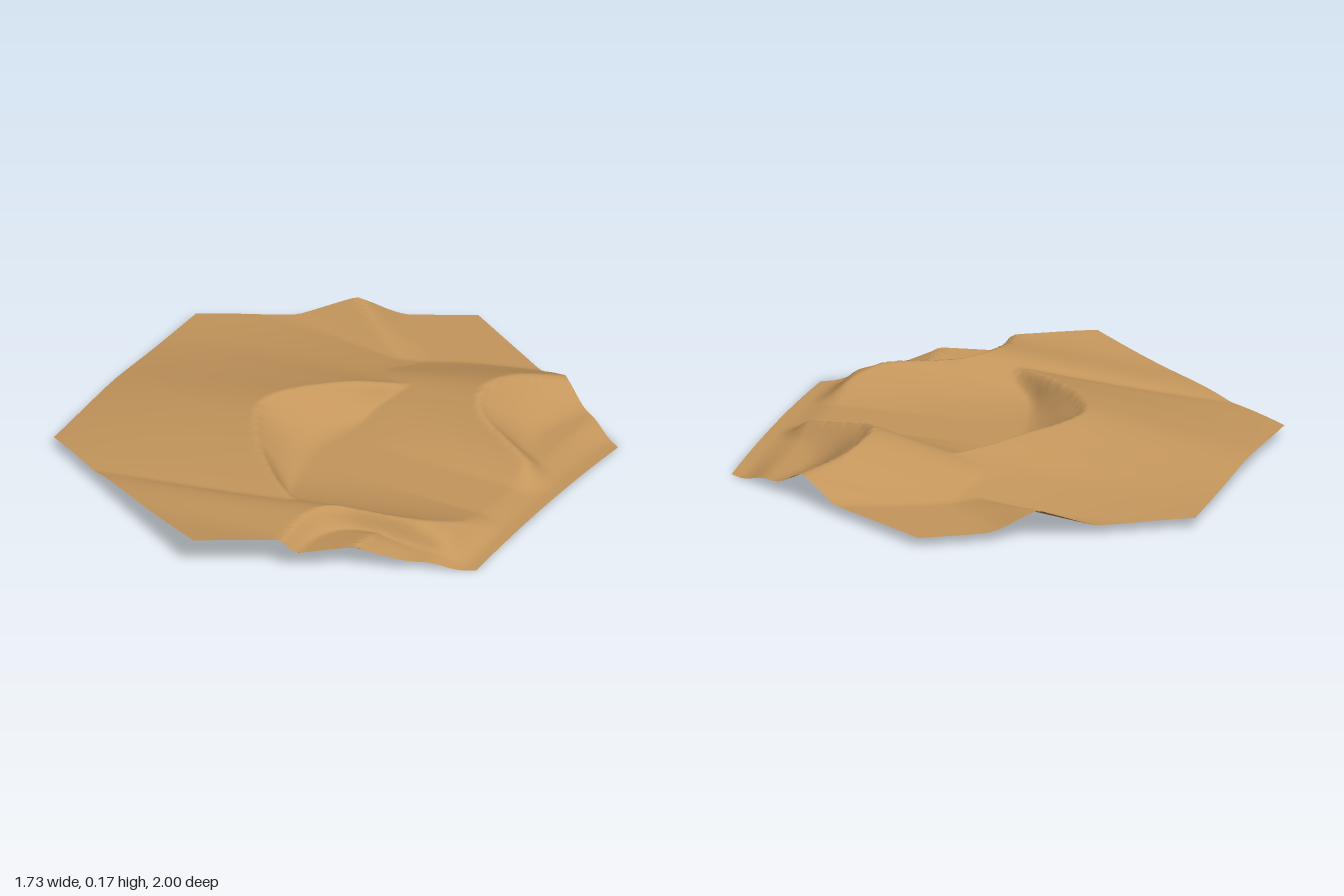
import * as THREE from 'three';

const HALF = 0.866, BASE = 0.035;

// Each dune is a row of stations: [z, windward foot x, crest x, lee foot x, height]
const mainDune = [
  [-0.62, -0.95, 0.05, 0.12, 0], [-0.38, -0.95, 0.13, 0.16, 0.068], [-0.2, -0.95, -0.06, 0.06, 0.11],
  [0.07, -1.0, -0.24, 0, 0.13], [0.3, -0.95, -0.14, 0.03, 0.118], [0.45, -0.9, 0.01, 0.09, 0.1],
  [0.57, -0.87, 0.17, 0.21, 0.078], [0.72, -0.85, 0.2, 0.26, 0]];
const backDune = [
  [-0.84, 0.55, 0.66, 0.82, 0], [-0.77, 0.38, 0.62, 0.78, 0.045], [-0.68, 0.12, 0.55, 0.72, 0.075],
  [-0.55, -0.1, 0.44, 0.66, 0.115], [-0.38, -0.3, 0.4, 0.63, 0.143], [-0.25, -0.12, 0.46, 0.7, 0.122],
  [-0.13, 0, 0.7, 0.86, 0.062], [-0.02, 0.05, 0.8, 0.95, 0]];
const frontDune = [
  [0.2, 0.05, 0.8, 0.95, 0], [0.35, 0, 0.72, 0.9, 0.045], [0.48, -0.1, 0.6, 0.85, 0.088],
  [0.55, -0.25, 0.36, 0.5, 0.106], [0.65, -0.72, 0.28, 0.36, 0.108], [0.82, -0.9, 0.27, 0.35, 0.09],
  [1, -0.87, 0.3, 0.4, 0.115]];
const frontShelf = [
  [0.48, 0.1, 0.5, 0.72, 0], [0.6, 0.1, 0.5, 0.7, 0.052], [0.85, 0.1, 0.5, 0.7, 0.066]];
const sideRidge = [
  [-0.9, -1.4, -0.51, -0.21, 0.1], [-0.79, -0.99, -0.36, -0.11, 0.077],
  [-0.68, -0.55, -0.21, 0, 0.042], [-0.54, -0.05, -0.02, 0.02, 0]];
const dunes = [mainDune, backDune, frontDune, frontShelf, sideRidge];

// Smooth curve through one column of the stations
function sample(st, col, z) {
  const n = st.length - 1;
  if (z <= st[0][0]) return st[0][col];
  if (z >= st[n][0]) return st[n][col];
  let i = 0;
  while (z > st[i + 1][0]) i++;
  const slope = k => {
    const a = st[Math.max(k - 1, 0)], b = st[Math.min(k + 1, n)];
    return (b[col] - a[col]) / (b[0] - a[0]);
  };
  const [a, b] = [st[i], st[i + 1]], d = b[0] - a[0], t = (z - a[0]) / d;
  const t2 = t * t, t3 = t2 * t;
  return (2 * t3 - 3 * t2 + 1) * a[col] + (t3 - 2 * t2 + t) * d * slope(i)
    + (3 * t2 - 2 * t3) * b[col] + (t3 - t2) * d * slope(i + 1);
}

// Long windward ramp, short steep lee face
function duneHeight(st, x, z) {
  const [start, crest, foot, h] = [1, 2, 3, 4].map(c => sample(st, c, z));
  if (x <= start || x >= foot || h <= 0) return 0;
  return x < crest ? h * (x - start) / (crest - start)
    : h * (1 - THREE.MathUtils.smoothstep(x, crest - 0.3 * (foot - crest), foot));
}

const sand = (x, z) => Math.max(...dunes.map(d => duneHeight(d, x, z)));

function groundHeight(x, z) {
  // soften creases a little
  const r = 0.014;
  const soft = (2 * sand(x, z) + sand(x + r, z) + sand(x - r, z) + sand(x, z + r) + sand(x, z - r)) / 6;
  // the right rim sinks to a low border
  const rim = 0.02 * (1 - Math.min(1, 4 * z * z));
  return THREE.MathUtils.lerp(BASE + soft, rim, THREE.MathUtils.smoothstep(x, 0.7, 0.83));
}

export function createModel() {
  const group = new THREE.Group();
  group.name = 'desertTile';
  const sandMaterial = new THREE.MeshStandardMaterial({ color: 0xc4965c, side: THREE.DoubleSide });
  sandMaterial.name = 'sand';

  // Square sheet squeezed to a hexagon and raised into dunes
  const geometry = new THREE.PlaneGeometry(2, 2, 160, 160);
  geometry.rotateX(-Math.PI / 2);
  const p = geometry.attributes.position;
  for (let i = 0; i < p.count; i++) {
    const z = p.getZ(i);
    const x = p.getX(i) * Math.max(0.0005, HALF * Math.min(1, 2 * (1 - Math.abs(z))));
    p.setXYZ(i, x, groundHeight(x, z), z);
  }
  geometry.computeVertexNormals();

  const dunesMesh = new THREE.Mesh(geometry, sandMaterial);
  dunesMesh.name = 'sandDunes';
  group.add(dunesMesh);
  return group;
}
